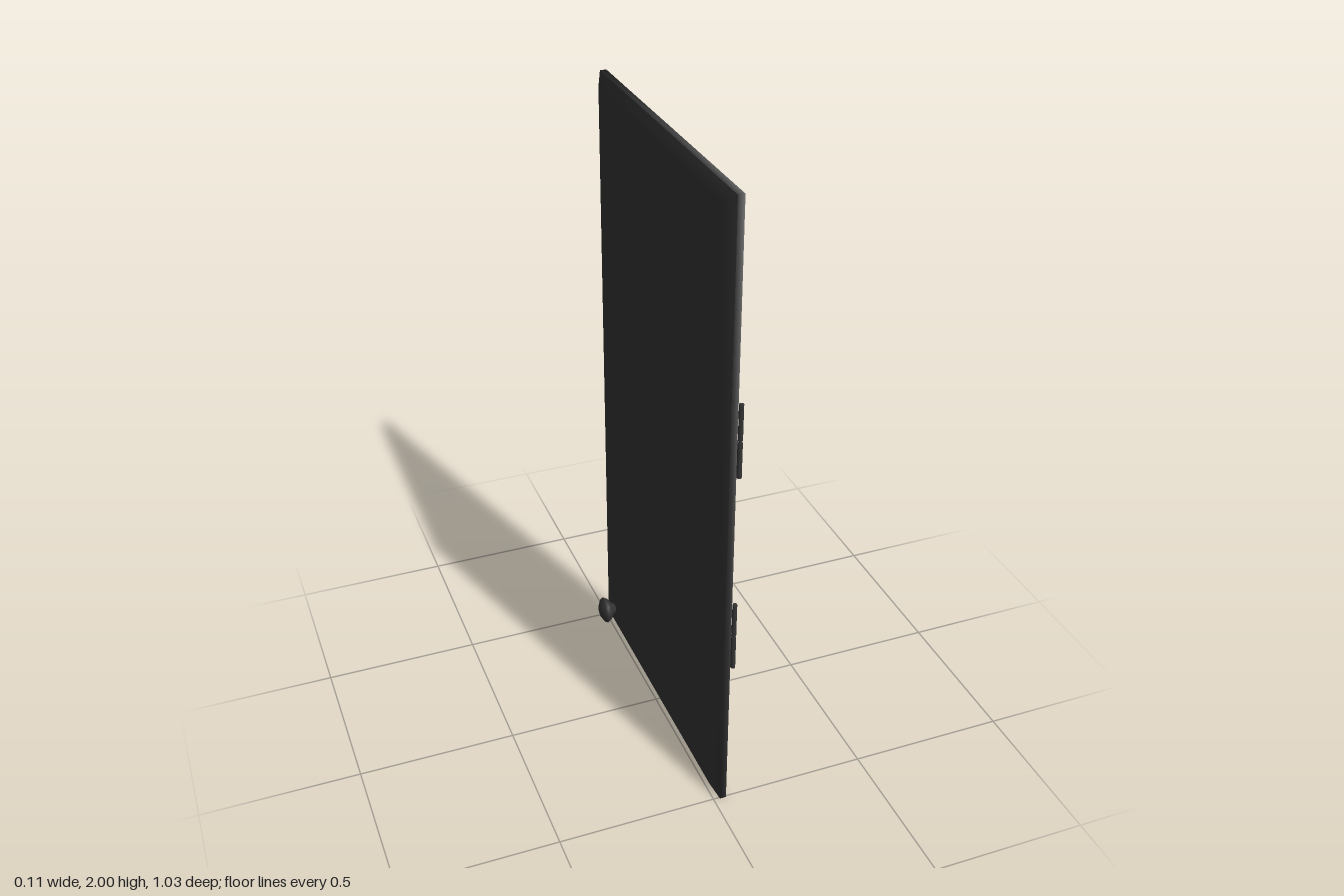
import * as THREE from 'three';

const material = new THREE.MeshStandardMaterial({ color: 0x333333, side: THREE.DoubleSide });
const CENTER_Z = -0.005;

// Skin stretched over rectangular rings [x, halfHeight, halfWidth]; caps close the first or last ring
function ringSkin(rings, capFirst, capLast) {
  const pos = [], idx = [];
  for (const [x, h, w] of rings) {
    for (const [sy, sz] of [[-1, -1], [-1, 1], [1, 1], [1, -1]]) pos.push(x, 1 + sy * h, CENTER_Z + sz * w);
  }
  for (let r = 0; r < rings.length - 1; r++) {
    for (let i = 0; i < 4; i++) {
      const a = r * 4 + i, b = r * 4 + (i + 1) % 4;
      idx.push(a, b, b + 4, a, b + 4, a + 4);
    }
  }
  const n = (rings.length - 1) * 4;
  if (capFirst) idx.push(0, 2, 1, 0, 3, 2);
  if (capLast) idx.push(n, n + 1, n + 2, n, n + 2, n + 3);
  const g = new THREE.BufferGeometry();
  g.setAttribute('position', new THREE.Float32BufferAttribute(pos, 3));
  g.setIndex(idx);
  // Rings advance toward -x, so the winding is reversed to face outward
  for (let i = 0; i < idx.length; i += 3) {
    const t = g.index.getX(i + 1);
    g.index.setX(i + 1, g.index.getX(i + 2));
    g.index.setX(i + 2, t);
  }
  g.computeVertexNormals();
  return g;
}

function add(parent, name, geometry, x = 0, y = 0, z = 0) {
  const m = new THREE.Mesh(geometry, material);
  m.name = name;
  m.position.set(x, y, z);
  parent.add(m);
  return m;
}

export function createModel() {
  const model = new THREE.Group();
  model.name = 'cabinetDoor';

  // Door: flat back, straight edges, softly shaded bevelled front with raised panel
  const back = new THREE.PlaneGeometry(1.02, 2);
  back.rotateY(Math.PI / 2);
  add(model, 'doorBack', back, 0.04, 1, CENTER_Z);
  add(model, 'doorEdges', ringSkin([[0.04, 1, 0.51], [0.02, 1, 0.51]], false, false));
  add(model, 'doorFront', ringSkin([
    [0.02, 1, 0.51], [0, 0.965, 0.468], [0, 0.87, 0.35], [-0.02, 0.8, 0.282],
  ], false, true));

  // Knob, turned around an axis pointing out of the raised face
  const profile = [[0.016, 0], [0.02, 0.008], [0.038, 0.022], [0.045, 0.034], [0.041, 0.042], [0.022, 0.053], [0, 0.054]]
    .map(([r, h]) => new THREE.Vector2(r, h));
  const knob = add(model, 'knob', new THREE.LatheGeometry(profile, 24), 0, 0.09, -0.41);
  knob.rotation.z = Math.PI / 2;

  // Hinge leaf with clipped inner corners
  const leaf = new THREE.Shape([[0, 0], [0.045, 0], [0.058, 0.013], [0.058, 0.098], [0.045, 0.111], [0, 0.111]]
    .map(([u, v]) => new THREE.Vector2(u, v)));
  const leafGeometry = new THREE.ExtrudeGeometry(leaf, { depth: 0.006, bevelEnabled: false });
  leafGeometry.rotateY(Math.PI / 2);

  // Two hinges, each with two knuckles on a pin
  for (const y of [0.52, 1.18]) {
    const hinge = new THREE.Group();
    hinge.name = 'hinge';
    hinge.position.y = y;
    add(hinge, 'hingeLeaf', leafGeometry, 0.04, 0, 0.508);
    for (const ky of [0.0555, 0.1745]) {
      add(hinge, 'hingeKnuckle', new THREE.CylinderGeometry(0.007, 0.007, 0.111, 16), 0.047, ky, 0.508);
    }
    add(hinge, 'hingePin', new THREE.CylinderGeometry(0.004, 0.004, 0.22, 12), 0.047, 0.115, 0.508);
    model.add(hinge);
  }
  return model;
}
